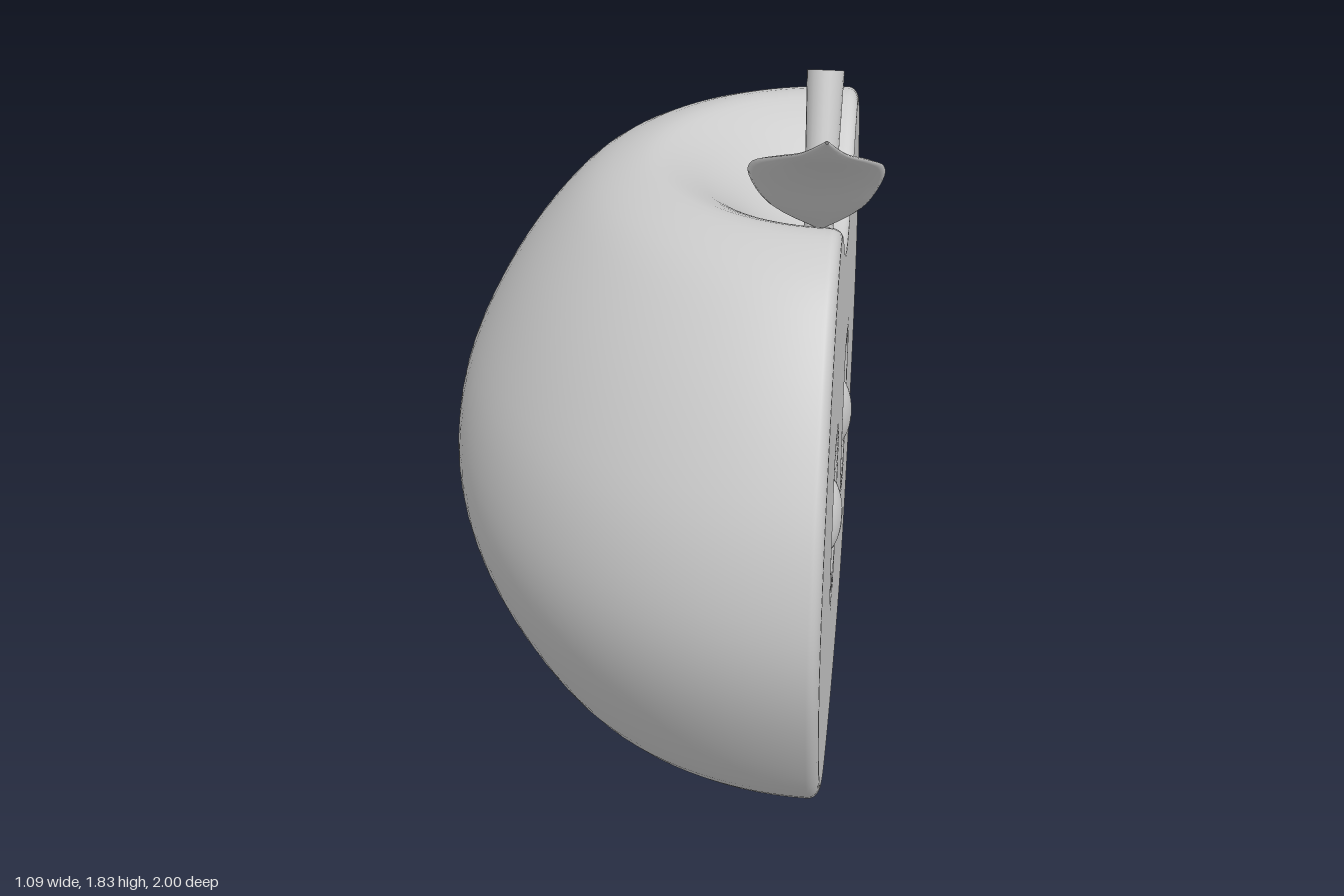
import * as THREE from 'three';
import { mergeGeometries, mergeVertices } from 'three/addons/utils/BufferGeometryUtils.js';

const CUT_X = 0.455;   // plane of the cut face
const BEVEL = 0.03;
const SEED = { y: 0.755, z: 0.285 };
const vec2 = (list) => list.map(([a, b]) => new THREE.Vector2(a, b));

// Joins equal-sized rings of points into a surface
function loft(rings) {
  const n = rings[0].length, index = [];
  for (let k = 0; k < rings.length - 1; k++) {
    for (let j = 0; j < n; j++) {
      const a = k * n + j, b = k * n + (j + 1) % n;
      index.push(a, b, a + n, b, b + n, a + n);
    }
  }
  const g = new THREE.BufferGeometry();
  g.setAttribute('position', new THREE.Float32BufferAttribute(rings.flat(2), 3));
  g.setIndex(index);
  return g;
}

// Half apple: half-turn skin, rounded rim and cut face with two seed hollows
function appleGeometry() {
  const profile = new THREE.SplineCurve(vec2([
    [0, 0], [0.2, 0.007], [0.42, 0.035], [0.6, 0.105], [0.75, 0.225], [0.88, 0.42],
    [0.97, 0.63], [1, 0.83], [0.97, 1.04], [0.885, 1.24], [0.77, 1.42], [0.64, 1.555],
    [0.5, 1.612], [0.4, 1.59], [0.3, 1.53], [0.2, 1.46], [0.1, 1.41], [0, 1.39],
  ])).getPoints(64);
  profile[0].x = profile[64].x = 0;

  const rimX = CUT_X - BEVEL;
  const skin = new THREE.LatheGeometry(profile, 48, Math.PI, Math.PI);
  skin.scale(rimX + 0.545, 1, 1).translate(rimX, 0, 0);

  const outline = [
    ...profile.map((p) => [-p.x, p.y]),
    ...profile.slice(1, -1).reverse().map((p) => [p.x, p.y]),
  ];
  const hollow = (y, z) =>
    0.05 * Math.exp(-(((Math.abs(z) - SEED.z) / 0.075) ** 4) - ((y - SEED.y) / 0.15) ** 4);
  const midY = 0.78;
  const ring = (scale, x) => outline.map(([z, y]) => {
    const py = midY + (y - midY) * scale, pz = z * scale;
    return [x - hollow(py, pz), py, pz];
  });
  const rings = [];
  for (let i = 0; i <= 6; i++) {
    const t = (i / 6) * Math.PI / 2;
    rings.push(ring(1 - 0.04 * (1 - Math.cos(t)), rimX + BEVEL * Math.sin(t)));
  }
  for (let i = 1; i <= 44; i++) rings.push(ring(0.96 * (1 - i / 44), CUT_X));
  const face = loft(rings);

  skin.deleteAttribute('uv');
  skin.deleteAttribute('normal');
  const g = mergeVertices(mergeGeometries([skin, face]), 1e-4);
  g.computeVertexNormals();
  return g;
}

// Leaf: thin cupped cross-sections along a curved spine
function leafGeometry() {
  const spine = new THREE.SplineCurve(vec2([   // z, y
    [0.02, 1.43], [0.08, 1.505], [0.15, 1.6], [0.22, 1.665], [0.3, 1.715], [0.4, 1.77], [0.475, 1.83],
  ]));
  const width = new THREE.SplineCurve(vec2([   // centre x, half width
    [0.385, 0.012], [0.375, 0.115], [0.375, 0.163], [0.383, 0.157], [0.398, 0.112], [0.405, 0.055], [0.413, 0.004],
  ]));
  const rings = [], steps = 24, sides = 16;
  for (let i = 0; i <= steps; i++) {
    const t = i / steps;
    const p = spine.getPoint(t), d = spine.getTangent(t), w = width.getPoint(t);
    const thick = 0.004 + 0.012 * Math.sin(Math.PI * t);
    const ring = [];
    for (let j = 0; j < sides; j++) {
      const a = (j / sides) * Math.PI * 2, c = Math.cos(a);
      const h = thick * Math.sin(a) + 1.1 * w.y * w.y * (c * c - 0.5);
      ring.push([w.x + w.y * c, p.y + d.x * h, p.x - d.y * h]);
    }
    rings.push(ring);
  }
  const g = loft(rings);
  g.computeVertexNormals();
  return g;
}

export function createModel() {
  const group = new THREE.Group();
  const grey = new THREE.MeshStandardMaterial({ color: 0xcccccc });
  const thin = new THREE.MeshStandardMaterial({ color: 0xcccccc, side: THREE.DoubleSide });
  const add = (name, geometry, material = grey) => {
    const mesh = new THREE.Mesh(geometry, material);
    mesh.name = name;
    group.add(mesh);
    return mesh;
  };

  add('halfApple', appleGeometry());
  add('leaf', leafGeometry(), thin);

  // Stem: leans backwards out of the dimple
  const base = new THREE.Vector3(0.38, 1.4, 0), tip = new THREE.Vector3(0.38, 1.785, -0.143);
  const dir = tip.clone().sub(base);
  const stem = add('stem', new THREE.CylinderGeometry(0.047, 0.037, dir.length(), 20));
  stem.position.copy(base).lerp(tip, 0.5);
  stem.quaternion.setFromUnitVectors(new THREE.Vector3(0, 1, 0), dir.normalize());

  // Seeds: mirrored, with tops leaning towards the middle
  for (const side of [1, -1]) {
    const seed = add(side > 0 ? 'frontSeed' : 'backSeed', new THREE.SphereGeometry(1, 24, 16));
    seed.scale.set(0.05, 0.112, 0.056);
    seed.position.set(0.425, SEED.y, side * SEED.z);
    seed.rotation.x = -side * 0.1;
  }
  return group;
}
